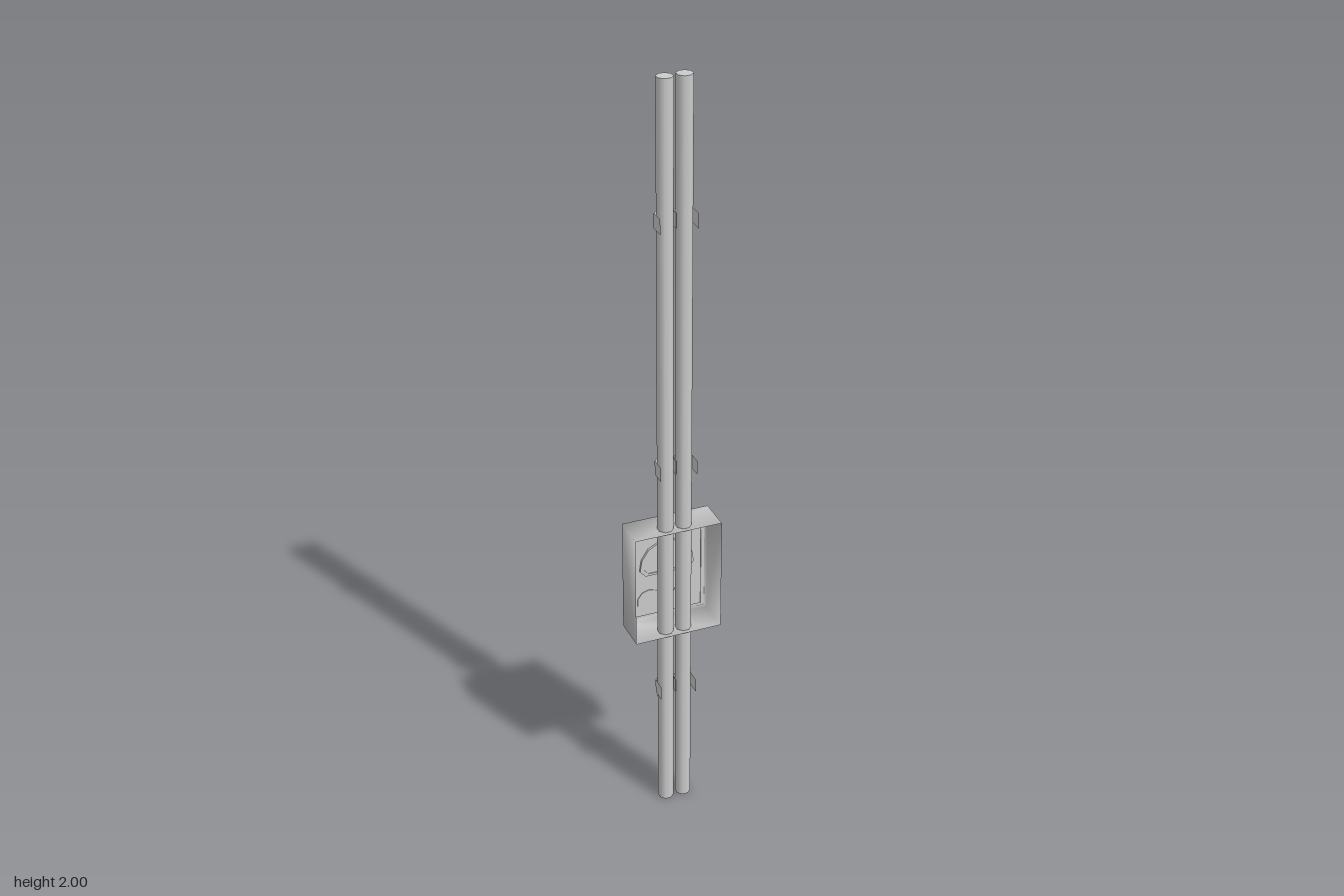
import * as THREE from 'three';

const solid = new THREE.MeshStandardMaterial({ color: 0xcccccc, side: THREE.DoubleSide });
const faceted = new THREE.MeshStandardMaterial({ color: 0xcccccc, side: THREE.DoubleSide, flatShading: true });

function add(parent, name, geometry, material = faceted, x = 0, y = 0, z = 0) {
  const mesh = new THREE.Mesh(geometry, material);
  mesh.name = name;
  mesh.position.set(x, y, z);
  parent.add(mesh);
  return mesh;
}

function fromFaces(points, index) {
  const g = new THREE.BufferGeometry();
  g.setAttribute('position', new THREE.Float32BufferAttribute(points, 3));
  g.setIndex(index);
  g.computeVertexNormals();
  return g;
}

// Rectangular shell: rings of [half width, half height, z]
function rectLoft(rings) {
  const points = [], index = [];
  rings.forEach(([w, h, z], i) => {
    points.push(-w, -h, z, w, -h, z, w, h, z, -w, h, z);
    if (i === 0) return;
    for (let j = 0; j < 4; j++) {
      const a = (i - 1) * 4 + j, b = (i - 1) * 4 + (j + 1) % 4;
      index.push(a, a + 4, b, b, a + 4, b + 4);
    }
  });
  return fromFaces(points, index);
}

// Upright ribbon following an (x, z) path
function ribbon(path, height) {
  const points = [], index = [];
  path.forEach(([x, z], i) => {
    points.push(x, -height / 2, z, x, height / 2, z);
    if (i === 0) return;
    const a = i * 2 - 2;
    index.push(a, a + 2, a + 1, a + 1, a + 2, a + 3);
  });
  return fromFaces(points, index);
}

// Half-round gauge outline with clipped lower corners
function archPoints(s) {
  const pts = [[-0.058, -0.046], [0.058, -0.046], [0.073, -0.03], [0.068, 0.002],
    [0.05, 0.03], [0.022, 0.045], [-0.022, 0.045], [-0.05, 0.03], [-0.068, 0.002], [-0.073, -0.03]];
  return pts.map(([x, y]) => new THREE.Vector2(x * s, y * s));
}

function createControlBox() {
  const box = new THREE.Group();
  box.name = 'controlBox';
  box.position.y = 0.678;

  // Open-fronted housing with a rounded rear rim and recessed lip
  add(box, 'housing', rectLoft([[0.115, 0.152, 0.048], [0.115, 0.152, -0.043], [0.109, 0.146, -0.048]]), solid);
  add(box, 'rim', rectLoft([[0.109, 0.146, -0.048], [0.1, 0.137, -0.048], [0.094, 0.131, -0.036]]));

  // Rear panel with a gauge opening
  const w = 0.094, h = 0.131, gaugeY = 0.036;
  const panel = new THREE.Shape([[-w, -h], [w, -h], [w, h], [-w, h]].map(p => new THREE.Vector2(...p)));
  panel.holes.push(new THREE.Path(archPoints(0.9).map(p => p.setY(p.y + gaugeY))));
  add(box, 'panel', new THREE.ShapeGeometry(panel), faceted, 0, 0, -0.036);

  // Gauge frame and sunken dial
  const frame = new THREE.Shape(archPoints(1));
  frame.holes.push(new THREE.Path(archPoints(0.86)));
  add(box, 'gaugeFrame', new THREE.ExtrudeGeometry(frame, { depth: 0.014, bevelEnabled: false }),
    faceted, 0, gaugeY, -0.044);
  add(box, 'gaugeDial', new THREE.ShapeGeometry(new THREE.Shape(archPoints(0.88))), faceted, 0, gaugeY, -0.032);

  // Label strip across the top
  add(box, 'labelStrip', new THREE.BoxGeometry(0.172, 0.022, 0.008), faceted, 0, 0.107, -0.037);

  // Two dials with bar grips
  for (const side of [-1, 1]) {
    const knob = new THREE.Group();
    knob.name = side > 0 ? 'leftKnob' : 'rightKnob';
    knob.position.set(side * 0.047, -0.088, -0.037);
    add(knob, 'knobBase', new THREE.CylinderGeometry(0.033, 0.033, 0.006, 10)).rotation.x = Math.PI / 2;
    add(knob, 'knobCap', new THREE.CylinderGeometry(0.022, 0.018, 0.008, 10), faceted, 0, 0, -0.004)
      .rotation.x = Math.PI / 2;
    add(knob, 'knobGrip', new THREE.BoxGeometry(0.009, 0.042, 0.009), faceted, 0, 0, -0.006)
      .rotation.z = side * 0.4;
    box.add(knob);
  }
  return box;
}

export function createModel() {
  const model = new THREE.Group();
  model.name = 'pipesWithControlBox';

  // Pair of eight-sided pipes
  for (const side of [-1, 1]) {
    const pipe = add(model, side > 0 ? 'leftPipe' : 'rightPipe',
      new THREE.CylinderGeometry(0.0203, 0.0203, 2, 8), solid, side * 0.024, 1, 0.0175);
    pipe.rotation.y = Math.PI / 8;
  }

  // Straps wrapped behind both pipes, open at the front
  const half = [[0.0475, 0.048], [0.0475, 0.008], [0.035, -0.0045], [0.013, -0.0045], [0.0008, 0.008], [0.0008, 0.028]];
  const path = [...half, ...half.map(([x, z]) => [-x, z]).reverse()];
  for (const y of [0.354, 1.004, 1.654]) add(model, 'strap', ribbon(path, 0.038), faceted, 0, y, 0);

  model.add(createControlBox());
  return model;
}
